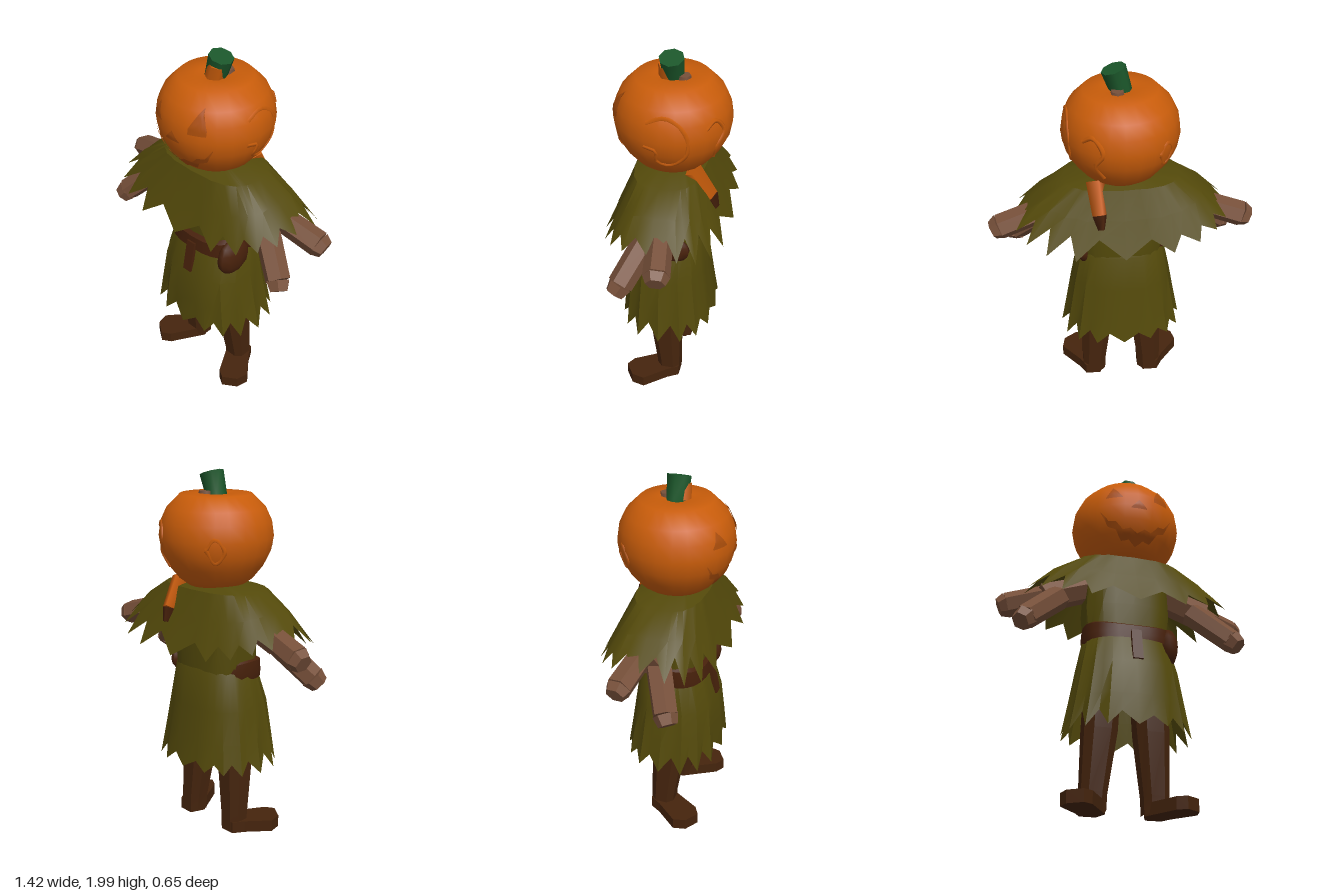
import * as THREE from 'three';
import { toCreasedNormals } from 'three/addons/utils/BufferGeometryUtils.js';

const paint = (name, color, side = THREE.FrontSide) => {
  const m = new THREE.MeshStandardMaterial({ color, side });
  m.name = name;
  return m;
};

// Pumpkin profile: [radius, height]
const PROFILE = [[0.001, 1.38], [0.14, 1.385], [0.2, 1.43], [0.256, 1.5], [0.291, 1.57],
  [0.305, 1.65], [0.293, 1.73], [0.26, 1.8], [0.19, 1.87], [0.09, 1.872], [0.001, 1.855]];

function headRadius(y) {
  for (let i = 1; i < PROFILE.length; i++) {
    const [r0, y0] = PROFILE[i - 1], [r1, y1] = PROFILE[i];
    if (y <= y1) return r0 + (r1 - r0) * (y - y0) / (y1 - y0);
  }
  return 0.1;
}

// Skin of quads over a grid of points
function skin(rows, wrap) {
  const n = rows[0].length, index = [];
  for (let j = 0; j < rows.length - 1; j++) {
    for (let i = 0; i < (wrap ? n : n - 1); i++) {
      const k = (i + 1) % n, a = j * n + i, b = j * n + k;
      index.push(a, a + n, b, b, a + n, b + n);
    }
  }
  const g = new THREE.BufferGeometry();
  g.setAttribute('position', new THREE.Float32BufferAttribute(rows.flat(2), 3));
  g.setIndex(index);
  g.computeVertexNormals();
  return g;
}

// Loft through squarish ovals listed from bottom to top; teeth make a ragged hem
function loft(rings, n, e, crease = 0.6) {
  const rows = rings.map(({ rx, rz, y, cx = 0, cz = 0, fold = 0, drop = 0, lift = 0 }) => {
    const row = [];
    for (let i = 0; i < n; i++) {
      const t = (i + 0.5 * (n < 10)) / n * Math.PI * 2 + Math.PI / 2 * (n >= 10);
      const c = Math.cos(t), s = Math.sin(t);
      const tooth = (i % 2 ? -1 : 1) * (1 + 0.35 * Math.sin(i * 12.9));
      const k = 1 + fold * tooth;
      row.push([cx + rx * k * Math.sign(c) * Math.abs(c) ** e,
        y + lift * c * c - drop * tooth,
        cz + rz * k * Math.sign(s) * Math.abs(s) ** e]);
    }
    return row;
  });
  return toCreasedNormals(skin(rows, true), crease);
}

// Tapered stick between two points
function stick(a, b, ra, rb, sides = 6) {
  const p = new THREE.Vector3(...a), q = new THREE.Vector3(...b), d = q.clone().sub(p);
  const g = new THREE.CylinderGeometry(rb, ra, d.length(), sides);
  g.applyQuaternion(new THREE.Quaternion().setFromUnitVectors(new THREE.Vector3(0, 1, 0), d.clone().normalize()));
  const mid = p.add(q).multiplyScalar(0.5);
  return g.translate(mid.x, mid.y, mid.z);
}

// Thin patch lying on the front of the pumpkin, between two height curves
function carving(x0, x1, low, high, cols) {
  const rows = [];
  for (let j = 0; j <= 6; j++) {
    const row = [];
    for (let i = 0; i <= cols; i++) {
      const u = i / cols, x = x0 + (x1 - x0) * u;
      const y = low(u) + (high(u) - low(u)) * j / 6;
      row.push([x, y, Math.sqrt(Math.max(headRadius(y) ** 2 - x * x, 0)) + 0.006]);
    }
    rows.push(row);
  }
  return skin(rows, false);
}

export function createModel() {
  const model = new THREE.Group();
  const orange = paint('pumpkin orange', 0xc85c0a);
  const carved = paint('carved orange', 0xa84c0a, THREE.DoubleSide);
  const green = paint('stem green', 0x1b562a);
  const cloth = paint('olive cloth', 0x53490a, THREE.DoubleSide);
  const bark = paint('arm brown', 0x77503a);
  const wood = paint('leg brown', 0x45240d);
  const leather = paint('belt brown', 0x48210b, THREE.DoubleSide);
  const add = (name, geometry, material) => {
    const mesh = new THREE.Mesh(geometry, material);
    mesh.name = name;
    model.add(mesh);
    return mesh;
  };

  // Pumpkin head and stem
  add('head', new THREE.LatheGeometry(PROFILE.map(p => new THREE.Vector2(...p)), 24), orange);
  add('stem', toCreasedNormals(stick([-0.005, 1.85, 0], [0.035, 1.975, 0], 0.055, 0.064, 8), 0.9), green);
  add('stemPatch', stick([0.01, 1.86, 0.022], [0.032, 1.94, 0.022], 0.05, 0.046, 6), orange);
  add('stemKnob', stick([0.02, 1.86, -0.06], [0.02, 1.885, -0.06], 0.038, 0.034, 6), bark);

  // Carved face
  const peak = (base, h) => u => base + h * (1 - Math.abs(2 * u - 1));
  add('rightEye', carving(-0.175, -0.09, () => 1.695, peak(1.7, 0.075), 8), carved);
  add('leftEye', carving(0.09, 0.175, () => 1.69, peak(1.72, 0.1), 8), carved);
  add('nose', carving(-0.045, 0.045, () => 1.625, peak(1.63, 0.05), 8), carved);
  const zig = u => Math.abs((u * 5) % 1 - 0.5) * 0.07;
  const smile = u => 0.2 * (2 * u - 1) ** 2;
  add('mouth', carving(-0.2, 0.2, u => 1.435 + smile(u) * 0.75 + zig(u) * 0.7,
    u => 1.515 + smile(u) * 0.5 - zig(u + 0.1) * 0.6, 40), carved);

  // Shallow ridges on the sides and back of the head: [angle, height]
  const ridges = {
    sideRidge: [[0.25, 1.74], [-0.1, 1.77], [-0.42, 1.7], [-0.45, 1.58], [-0.15, 1.51], [0.08, 1.54], [0.05, 1.6], [0.28, 1.62]],
    rearRidge: [[-0.8, 1.7], [-1.0, 1.73], [-1.2, 1.66], [-1.05, 1.58], [-1.15, 1.5]],
    backDiamond: [[-2.2, 1.62], [-2.35, 1.67], [-2.52, 1.61], [-2.36, 1.55], [-2.2, 1.62]],
  };
  for (const [name, pts] of Object.entries(ridges)) {
    const path = new THREE.CatmullRomCurve3(pts.map(([t, y]) => {
      const r = headRadius(y) - 0.008;
      return new THREE.Vector3(Math.cos(t) * r, y, Math.sin(t) * r);
    }));
    add(name, new THREE.TubeGeometry(path, 24, 0.014, 5), orange);
  }

  // Ragged cape, tunic and skirt
  add('cape', loft([
    { rx: 0.54, rz: 0.3, y: 1.1, cz: -0.008, fold: 0.075, drop: 0.04, lift: 0.1 },
    { rx: 0.43, rz: 0.238, y: 1.24, cz: -0.004, fold: 0.02, lift: 0.06 },
    { rx: 0.3, rz: 0.18, y: 1.385, fold: 0.01 },
    { rx: 0.12, rz: 0.1, y: 1.41 },
  ], 40, 0.7), cloth);
  add('tunic', loft([
    { rx: 0.225, rz: 0.17, y: 0.93 },
    { rx: 0.236, rz: 0.172, y: 1.1, fold: 0.02 },
    { rx: 0.23, rz: 0.15, y: 1.38 },
  ], 20, 0.75), cloth);
  add('skirt', loft([
    { rx: 0.325, rz: 0.255, y: 0.425, cz: 0.01, fold: 0.045, drop: 0.035 },
    { rx: 0.3, rz: 0.24, y: 0.56, cz: 0.015, fold: 0.025 },
    { rx: 0.272, rz: 0.22, y: 0.74, cz: 0.018, fold: 0.015 },
    { rx: 0.232, rz: 0.175, y: 0.94, fold: 0.01 },
    { rx: 0.215, rz: 0.16, y: 0.97 },
  ], 32, 0.82), cloth);

  // Belt with hanging end and pouch; it sinks into the cloth at the back
  add('belt', loft([
    { rx: 0.237, rz: 0.172, y: 0.89, cz: 0.028 },
    { rx: 0.245, rz: 0.176, y: 0.92, cz: 0.022, lift: 0.01 },
    { rx: 0.241, rz: 0.172, y: 0.965, cz: 0.022, lift: 0.03 },
    { rx: 0.22, rz: 0.15, y: 0.98, cz: 0.02, lift: 0.03 },
  ], 24, 0.78), leather);
  const tail = add('beltEnd', new THREE.BoxGeometry(0.055, 0.18, 0.02), leather);
  tail.position.set(0.008, 0.845, 0.216);
  tail.rotation.x = -0.2;
  const pouch = add('pouch', new THREE.SphereGeometry(1, 10, 8), leather);
  pouch.scale.set(0.055, 0.115, 0.112);
  pouch.position.set(0.21, 0.89, 0.085);
  const rearPouch = add('rearPouch', new THREE.SphereGeometry(1, 10, 8), leather);
  rearPouch.scale.set(0.04, 0.08, 0.105);
  rearPouch.position.set(0.21, 0.945, -0.035);

  // Pumpkin strip hanging over the back of the cape
  add('backStrip', stick([0.14, 1.42, -0.13], [0.125, 1.27, -0.225], 0.052, 0.042, 4), orange);
  add('backStripEnd', stick([0.125, 1.27, -0.225], [0.12, 1.2, -0.255], 0.042, 0.02, 4), leather);

  for (const s of [1, -1]) {
    const side = s > 0 ? 'left' : 'right';
    const limb = (name, a, b, ra, rb) => add(side + name,
      toCreasedNormals(stick([a[0] * s, a[1], a[2]], [b[0] * s, b[1], b[2]], ra, rb), 0.7), bark);
    // Arm forking into two stubby branches
    limb('Arm', [0.17, 1.27, -0.01], [0.46, 1.16, 0], 0.075, 0.08);
    limb('UpperBranch', [0.4, 1.2, -0.03], [0.65, 1.125, -0.07], 0.066, 0.069);
    limb('UpperTip', [0.65, 1.125, -0.07], [0.69, 1.108, -0.075], 0.069, 0.05);
    limb('LowerBranch', [0.38, 1.16, 0.03], [0.57, 0.965, 0.14], 0.07, 0.066);
    limb('LowerTip', [0.57, 0.965, 0.14], [0.6, 0.925, 0.165], 0.066, 0.05);

    // Leg
    add(side + 'Leg', loft([
      { rx: 0.07, rz: 0.067, y: 0.01, cx: 0.165 * s, cz: -0.018 },
      { rx: 0.072, rz: 0.07, y: 0.1, cx: 0.163 * s, cz: -0.015 },
      { rx: 0.094, rz: 0.094, y: 0.42, cx: 0.14 * s, cz: 0.01 },
      { rx: 0.098, rz: 0.1, y: 0.8, cx: 0.12 * s, cz: 0.01 },
    ], 8, 0.75), wood);

    // Foot turned outward
    const sole = new THREE.Shape([[0.1, 0.0], [0.13, -0.08], [0.215, -0.08], [0.25, -0.02],
      [0.35, 0.1], [0.335, 0.17], [0.26, 0.22], [0.21, 0.19]].map(([x, z]) => new THREE.Vector2(x * s, -z)));
    const foot = new THREE.ExtrudeGeometry(sole, { depth: 0.066, bevelEnabled: false });
    add(side + 'Foot', foot.rotateX(-Math.PI / 2), wood);
  }
  return model;
}
